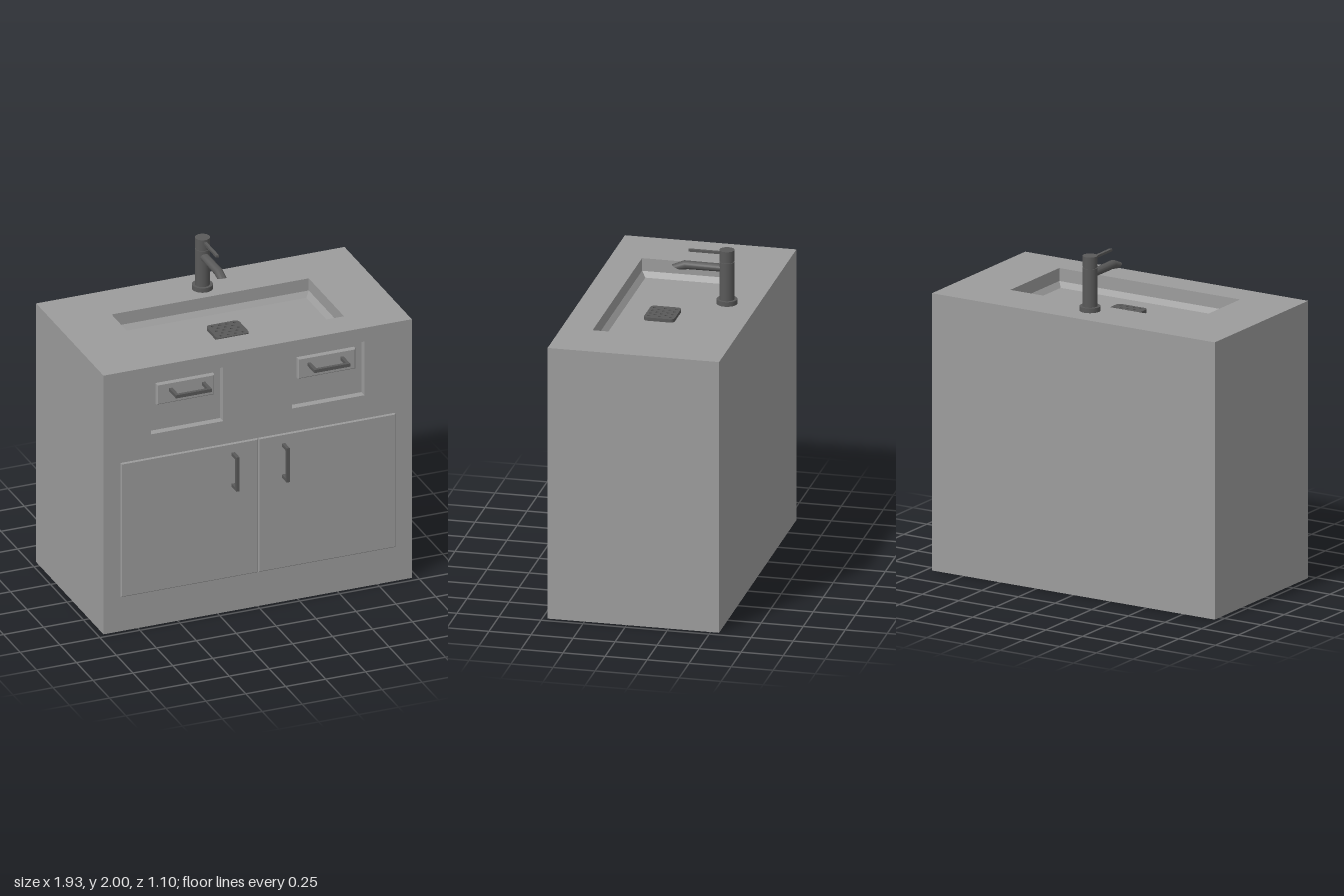
import * as THREE from 'three';
import { toCreasedNormals } from 'three/addons/utils/BufferGeometryUtils.js';

const body = new THREE.MeshStandardMaterial({ color: 0x9c9c9c });
const basin = new THREE.MeshStandardMaterial({ color: 0x9c9c9c, flatShading: true, side: THREE.DoubleSide });
const dark = new THREE.MeshStandardMaterial({ color: 0x595959 });

function add(parent, name, geometry, material) {
  const mesh = new THREE.Mesh(geometry, material);
  mesh.name = name;
  parent.add(mesh);
  return mesh;
}

// Box given by its minimum and maximum on each axis
function box(parent, name, [x0, x1], [y0, y1], [z0, z1], material) {
  const mesh = add(parent, name, new THREE.BoxGeometry(x1 - x0, y1 - y0, z1 - z0), material);
  mesh.position.set((x0 + x1) / 2, (y0 + y1) / 2, (z0 + z1) / 2);
}

function cylinder(parent, name, radius, y0, y1, z) {
  const mesh = add(parent, name, new THREE.CylinderGeometry(radius, radius, y1 - y0, 32), dark);
  mesh.position.set(0, (y0 + y1) / 2, z);
}

function rectPath(Type, x0, x1, y0, y1) {
  return new Type([[x0, y0], [x1, y0], [x1, y1], [x0, y1]].map(p => new THREE.Vector2(...p)));
}

// Front panel with a small chamfer around its face
function panel(parent, name, [x0, x1], [y0, y1], [z0, z1]) {
  const c = 0.006;
  const shape = rectPath(THREE.Shape, x0 + c, x1 - c, y0 + c, y1 - c);
  const geometry = new THREE.ExtrudeGeometry(shape, {
    depth: z1 - z0 - c, bevelSize: c, bevelThickness: c, bevelSegments: 1,
  });
  add(parent, name, geometry.translate(0, 0, z0), body);
}

// Horizontal plate from a shape in x and -z
function plate(shape, y0, y1) {
  return new THREE.ExtrudeGeometry(shape, { depth: y1 - y0, bevelEnabled: false, curveSegments: 8 })
    .rotateX(-Math.PI / 2).translate(0, y0, 0);
}

// Square-section bracket handle along x, standing out along +z
function handle(parent, name, length, reach) {
  const h = length / 2, t = 0.02;
  const shape = new THREE.Shape([
    [-h, 0], [-h + t, 0], [-h + t, reach - t], [h - t, reach - t],
    [h - t, 0], [h, 0], [h, reach], [-h, reach],
  ].map(p => new THREE.Vector2(...p)));
  const geometry = new THREE.ExtrudeGeometry(shape, { depth: t, bevelEnabled: false })
    .translate(0, 0, -t / 2).rotateX(Math.PI / 2);
  return add(parent, name, geometry, dark);
}

function buildCabinet(parent) {
  const W = 0.965, H = 1.67, back = -0.551, front = 0.469, inner = 0.424;
  const floorY = 1.56, slopeY = 1.592;
  const basinX = 0.617, basinBack = -0.251, basinFront = 0.284;
  box(parent, 'cabinetBody', [-W, W], [0, floorY], [back, inner], body);

  // Countertop with basin opening
  const top = rectPath(THREE.Shape, -W, W, -inner, -back);
  top.holes.push(rectPath(THREE.Path, -basinX, basinX, -basinFront, -basinBack));
  add(parent, 'countertop', plate(top, floorY, H), body);

  // Front face with two drawer recesses
  const face = rectPath(THREE.Shape, -W, W, 0, H);
  for (const s of [-1, 1]) {
    face.holes.push(rectPath(THREE.Path, s * 0.442 - 0.226, s * 0.442 + 0.226, 1.235, 1.582));
  }
  add(parent, 'frontFace',
    new THREE.ExtrudeGeometry(face, { depth: front - inner, bevelEnabled: false }).translate(0, 0, inner), body);

  // Sloped band around the basin floor
  const ring = (i, y) => [
    [-basinX + i, y, basinBack + i], [basinX - i, y, basinBack + i],
    [basinX - i, y, basinFront - i], [-basinX + i, y, basinFront - i],
  ];
  const upper = ring(0, slopeY), lower = ring(0.026, floorY + 0.001), pos = [];
  for (let i = 0; i < 4; i++) {
    const j = (i + 1) % 4;
    pos.push(...upper[i], ...lower[i], ...lower[j], ...upper[i], ...lower[j], ...upper[j]);
  }
  const slope = new THREE.BufferGeometry();
  slope.setAttribute('position', new THREE.Float32BufferAttribute(pos, 3));
  slope.computeVertexNormals();
  add(parent, 'basinSlope', slope, basin);

  // Doors and drawers, mirrored
  for (const s of [-1, 1]) {
    const span = (a, b) => s > 0 ? [a, b] : [-b, -a];
    panel(parent, 'door', span(0.002, 0.86), [0.222, 1.086], [front, 0.48]);
    const doorHandle = handle(parent, 'doorHandle', 0.22, 0.073);
    doorHandle.rotation.z = Math.PI / 2;
    doorHandle.position.set(s * 0.157, 0.917, 0.479);

    panel(parent, 'drawerFront', span(0.262, 0.622), [1.406, 1.537], [inner, 0.449]);
    handle(parent, 'drawerHandle', 0.225, 0.104).position.set(s * 0.433, 1.491, 0.448);
  }
}

// Rounded strainer plate with staggered holes over a solid base
function buildDrain(parent) {
  const outline = () => {
    const h = 0.102, d = 0.091, r = 0.03, s = new THREE.Shape();
    s.moveTo(-h + r, -d);
    s.lineTo(h - r, -d).quadraticCurveTo(h, -d, h, -d + r);
    s.lineTo(h, d - r).quadraticCurveTo(h, d, h - r, d);
    s.lineTo(-h + r, d).quadraticCurveTo(-h, d, -h, d - r);
    s.lineTo(-h, -d + r).quadraticCurveTo(-h, -d, -h + r, -d);
    return s;
  };
  const strainer = outline();
  for (let row = 0; row < 5; row++) {
    const count = row % 2 ? 3 : 4;
    for (let col = 0; col < count; col++) {
      const x = (col - (count - 1) / 2) * 0.046;
      strainer.holes.push(new THREE.Path().absarc(x, (row - 2) * 0.0325, 0.009, 0, Math.PI * 2, true));
    }
  }
  add(parent, 'drainBase', plate(outline(), 1.56, 1.57).translate(0, 0, 0.015), dark);
  add(parent, 'drainStrainer', plate(strainer, 1.57, 1.58).translate(0, 0, 0.015), dark);
}

function buildFaucet(parent) {
  const z = -0.368;
  cylinder(parent, 'faucetBase', 0.061, 1.67, 1.698, z);
  cylinder(parent, 'faucetColumn', 0.044, 1.698, 1.928, z);
  cylinder(parent, 'faucetNeck', 0.039, 1.928, 1.936, z);
  cylinder(parent, 'faucetCap', 0.044, 1.936, 2, z);
  box(parent, 'faucetLever', [-0.009, 0.009], [1.972, 1.986], [-0.34, -0.14], dark);

  // Spout: a tube of three rings, bent down and cut obliquely at the tip
  const rings = [
    { y: 1.887, z, upY: 0.023, upZ: 0 },
    { y: 1.887, z: -0.125, upY: 0.025, upZ: 0.012 },
    { y: 1.869, z: -0.072, upY: 0.0125, upZ: 0.031 },
  ];
  const spout = new THREE.CylinderGeometry(1, 1, 2, 24, 2).rotateX(Math.PI / 2);
  const p = spout.attributes.position;
  for (let i = 0; i < p.count; i++) {
    const ring = rings[Math.round(p.getZ(i)) + 1], up = p.getY(i);
    p.setXYZ(i, p.getX(i) * 0.027, ring.y + up * ring.upY, ring.z + up * ring.upZ);
  }
  add(parent, 'spout', toCreasedNormals(spout, 0.5), dark);
}

export function createModel() {
  const model = new THREE.Group();
  model.name = 'washstand';
  const parts = { cabinet: buildCabinet, drain: buildDrain, faucet: buildFaucet };
  for (const [name, build] of Object.entries(parts)) {
    const group = new THREE.Group();
    group.name = name;
    build(group);
    model.add(group);
  }
  return model;
}
